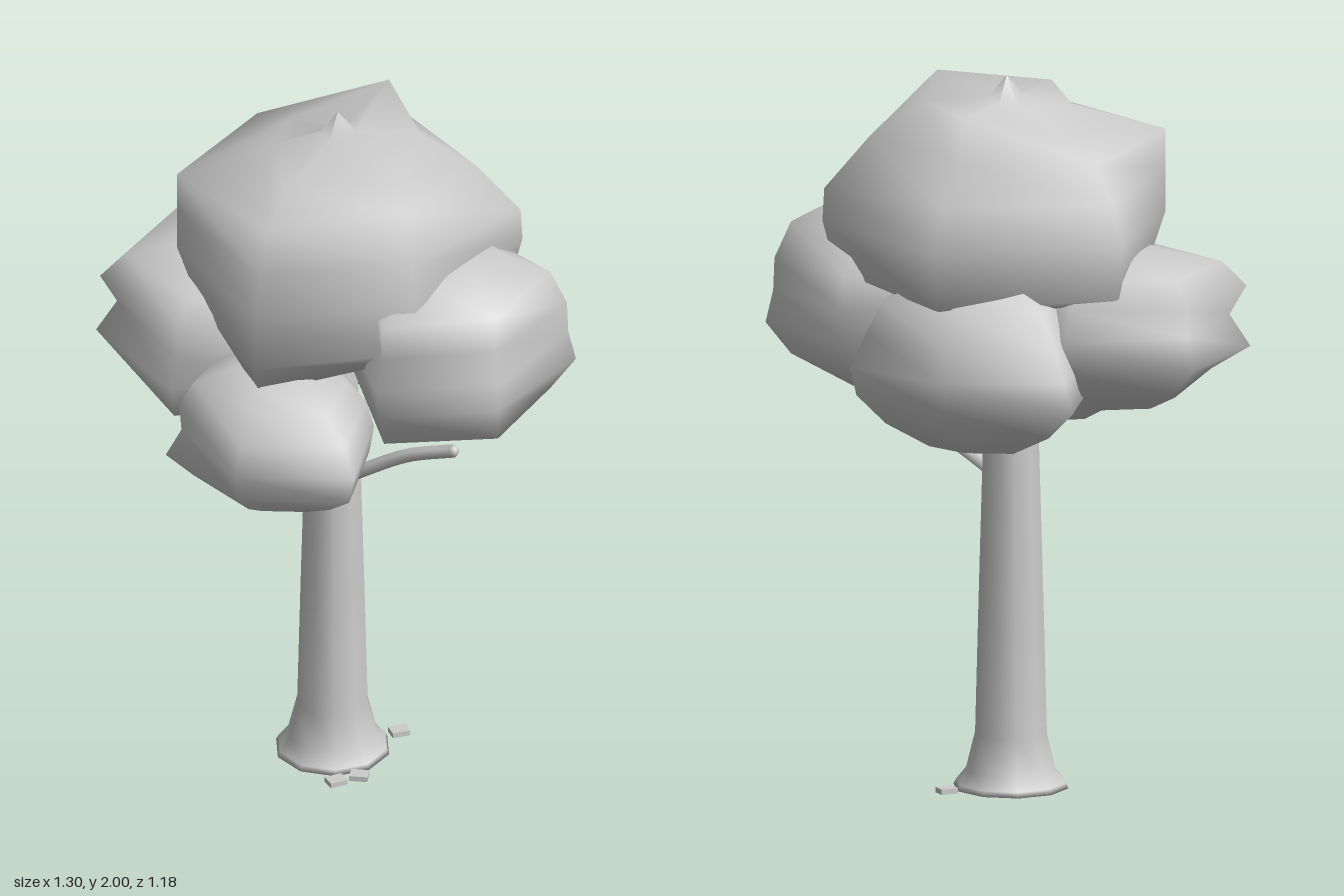
import * as THREE from 'three';

// A ring value is one number for all corners or a list with one number per corner
const at = (v, j) => (Array.isArray(v) ? v[j] : v);

// Lumpy closed leaf mass: a six-cornered outline scaled through rings of [height, scale], top to bottom
function foliage(name, material, corners, rings) {
  const n = corners.length;
  const cx = corners.reduce((s, c) => s + c[0], 0) / n;
  const cz = corners.reduce((s, c) => s + c[1], 0) / n;
  const pos = [], index = [];
  rings.forEach(([y, s], i) => {
    corners.forEach(([x, z], j) => {
      pos.push(cx + (x - cx) * at(s, j), at(y, j), cz + (z - cz) * at(s, j));
      if (i === rings.length - 1) return;
      const a = i * n + j, b = i * n + (j + 1) % n;
      if (i > 0) index.push(a, b, a + n);
      if (i < rings.length - 2) index.push(b, b + n, a + n);
    });
  });
  const g = new THREE.BufferGeometry();
  g.setAttribute('position', new THREE.Float32BufferAttribute(pos, 3));
  g.setIndex(index);
  g.computeVertexNormals();
  const mesh = new THREE.Mesh(g, material);
  mesh.name = name;
  return mesh;
}

export function createModel() {
  const tree = new THREE.Group();
  tree.name = 'tree';
  const grey = new THREE.MeshStandardMaterial({ color: 0xcccccc });
  grey.name = 'light grey';

  // Trunk with flared foot
  const profile = [[0, 0], [0.16, 0], [0.153, 0.015], [0.125, 0.05], [0.1, 0.15], [0.091, 0.5], [0.077, 1], [0.065, 1.45], [0, 1.45]]
    .map(([r, y]) => new THREE.Vector2(r, y));
  const trunk = new THREE.Mesh(new THREE.LatheGeometry(profile, 10), grey);
  trunk.position.set(-0.01, 0, 0.018);
  trunk.name = 'trunk';
  tree.add(trunk);

  // Small side branch, bowed upwards
  const path = new THREE.CatmullRomCurve3([
    new THREE.Vector3(0.03, 0.87, 0.04), new THREE.Vector3(0.08, 0.91, 0.07),
    new THREE.Vector3(0.19, 0.985, 0.13), new THREE.Vector3(0.315, 1.04, 0.205),
  ]);
  const branch = new THREE.Mesh(new THREE.TubeGeometry(path, 8, 0.019, 6), grey);
  branch.name = 'branch';
  tree.add(branch);

  // Branch tip
  const tip = new THREE.Mesh(new THREE.SphereGeometry(0.018, 6, 4), grey);
  tip.position.set(0.31, 1.038, 0.203);
  tip.name = 'branchTip';
  tree.add(tip);

  // Flat chips at the foot
  [[0.175, -0.045, 0.3], [0.055, 0.19, -0.2], [-0.01, 0.215, 0.4]].forEach(([x, z, turn], i) => {
    const chip = new THREE.Mesh(new THREE.BoxGeometry(0.05, 0.015, 0.04), grey);
    chip.position.set(x, 0.0075, z);
    chip.rotation.y = turn;
    chip.name = 'chip' + (i + 1);
    tree.add(chip);
  });

  // Crown: corners run right, front right, front left, left, back left, back right
  tree.add(foliage('crown', grey,
    [[0.51, 0.02], [0.2, 0.39], [-0.24, 0.42], [-0.45, 0.02], [-0.26, -0.43], [0.27, -0.47]], [
      [2, 0],
      [[1.94, 1.93, 1.93, 1.94, 1.92, 1.93], 0.1],
      [[1.93, 1.95, 1.92, 1.91, 1.87, 1.94], [0.45, 0.78, 0.65, 0.4, 0.45, 0.58]],
      [[1.83, 1.87, 1.84, 1.83, 1.81, 1.83], [0.75, 0.87, 0.86, 0.97, 0.77, 0.67]],
      [[1.69, 1.73, 1.72, 1.72, 1.71, 1.72], [0.99, 0.95, 0.95, 0.97, 0.92, 0.86]],
      [1.6, [1, 1, 1, 0.97, 1, 1]],
      [[1.46, 1.45, 1.44, 1.45, 1.45, 1.44], [0.93, 0.96, 1, 0.86, 0.96, 0.95]],
      [[1.41, 1.39, 1.355, 1.38, 1.42, 1.41], [0.75, 0.8, 0.96, 0.75, 0.8, 0.75]],
      [1.42, 0],
    ]));

  // Four lower leaf masses around the trunk top
  tree.add(
    foliage('rightFoliage', grey,
      [[0.65, 0.15], [0.43, 0.43], [0.09, 0.46], [0.02, 0.15], [0.12, -0.12], [0.48, -0.14]], [
        [1.64, 0],
        [1.635, 0.42],
        [1.57, [0.8, 0.9, 0.93, 0.85, 0.6, 0.65]],
        [1.47, [0.93, 0.92, 0.92, 0.9, 0.93, 0.93]],
        [1.38, [0.94, 1, 1, 1, 1, 1]],
        [1.29, [1, 0.97, 0.97, 0.95, 0.95, 0.95]],
        [1.2, [0.8, 0.95, 0.9, 0.8, 0.92, 0.85]],
        [1.145, [0.5, 0.45, 0.5, 0.55, 0.85, 0.7]],
        [1.17, 0],
      ]),
    foliage('frontFoliage', grey,
      [[0.09, 0.3], [0.02, 0.59], [-0.3, 0.56], [-0.48, 0.29], [-0.34, 0.05], [-0.04, 0.04]], [
        [1.39, 0],
        [1.375, 0.4],
        [1.33, [0.72, 0.66, 0.66, 0.75, 0.75, 0.8]],
        [1.26, [0.92, 0.88, 0.88, 0.88, 0.92, 0.95]],
        [1.18, [1, 1, 1, 0.86, 1, 1]],
        [1.1, [0.95, 0.94, 0.94, 1, 0.92, 0.92]],
        [1.035, [0.82, 0.68, 0.7, 0.75, 0.7, 0.7]],
        [0.98, 0.38],
        [0.985, 0],
      ]),
    foliage('leftFoliage', grey,
      [[0, -0.13], [-0.1, 0.18], [-0.46, 0.2], [-0.65, -0.14], [-0.45, -0.45], [-0.09, -0.46]], [
        [1.53, 0],
        [1.52, 0.4],
        [1.49, [0.75, 0.75, 0.72, 0.78, 0.78, 0.7]],
        [1.42, [0.9, 0.9, 0.86, 0.97, 0.93, 0.85]],
        [1.34, [0.95, 0.95, 0.92, 0.84, 0.92, 1]],
        [1.25, [1, 1, 1, 1, 1, 0.92]],
        [[1.17, 1.17, 1.16, 1.19, 1.17, 1.18], [0.85, 0.85, 0.95, 0.7, 0.75, 0.8]],
        [1.11, 0.42],
        [1.12, 0],
      ]),
    foliage('backFoliage', grey,
      [[0.47, -0.26], [0.34, -0.02], [-0.05, -0.05], [-0.18, -0.3], [-0.1, -0.59], [0.25, -0.52]], [
        [1.52, 0],
        [1.5, 0.4],
        [1.43, [0.75, 0.8, 0.8, 0.7, 0.7, 0.75]],
        [1.34, [0.88, 0.95, 0.95, 0.85, 0.82, 0.95]],
        [1.25, [1, 1, 1, 0.97, 0.92, 1]],
        [1.17, [0.95, 0.97, 1, 1, 1, 0.95]],
        [1.09, [0.72, 0.75, 0.85, 0.8, 0.75, 0.78]],
        [1.025, 0.38],
        [1.03, 0],
      ]),
  );
  return tree;
}
